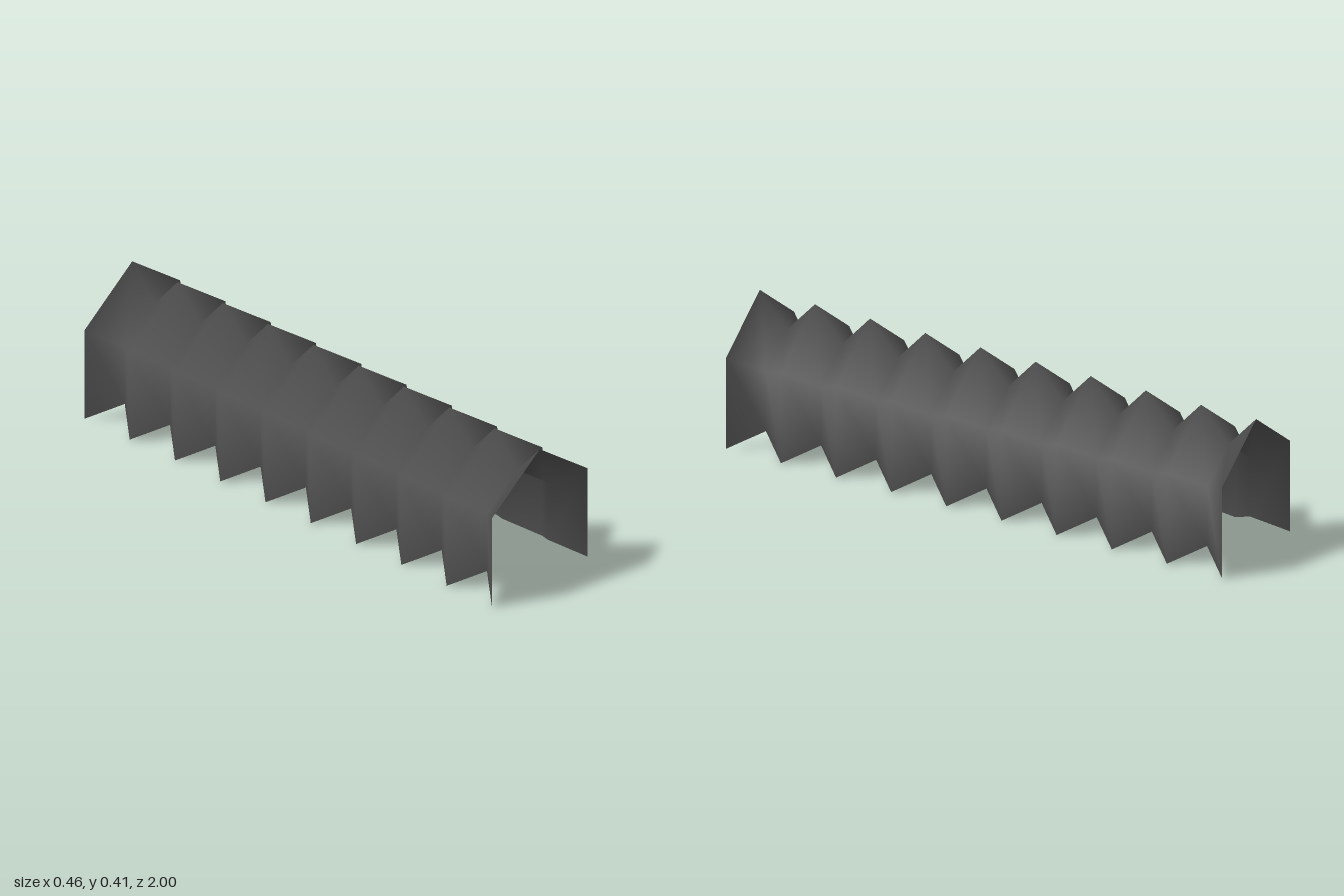
import * as THREE from 'three';

// Cross-sections of the folded cover: outer ridge and inner valley, from -x foot to +x foot
const RIDGE = [[-0.23, 0], [-0.23, 0.277], [0, 0.415], [0.23, 0.277], [0.23, 0]];
const VALLEY = [[-0.145, 0.05], [-0.145, 0.23], [0, 0.317], [0.145, 0.23], [0.145, 0.05]];
const RIDGES = 10;
const HALF_LENGTH = 0.9375; // z of the end ridges at the apex
const SKEW = 0.0625 / 0.23; // each fold slants back towards +x

export function createModel() {
  const group = new THREE.Group();
  group.name = 'bellowsCover';
  const darkGrey = new THREE.MeshStandardMaterial({ color: 0x4a4a4a, side: THREE.DoubleSide });
  darkGrey.name = 'dark grey';

  // Alternate ridge and valley rings, front to back
  const rings = RIDGES * 2 - 1;
  const step = (2 * HALF_LENGTH) / (rings - 1);
  const positions = [];
  const indices = [];
  for (let i = 0; i < rings; i++) {
    for (const [x, y] of i % 2 ? VALLEY : RIDGE) {
      positions.push(x, y, HALF_LENGTH - i * step - SKEW * x);
    }
  }

  // Join neighbouring rings with shared vertices for smooth shading
  const n = RIDGE.length;
  for (let i = 0; i < rings - 1; i++) {
    for (let j = 0; j < n - 1; j++) {
      const a = i * n + j;
      indices.push(a, a + 1, a + n + 1, a, a + n + 1, a + n);
    }
  }

  const geometry = new THREE.BufferGeometry();
  geometry.setAttribute('position', new THREE.Float32BufferAttribute(positions, 3));
  geometry.setIndex(indices);
  geometry.computeVertexNormals();

  const bellows = new THREE.Mesh(geometry, darkGrey);
  bellows.name = 'pleatedBellows';
  group.add(bellows);
  return group;
}
